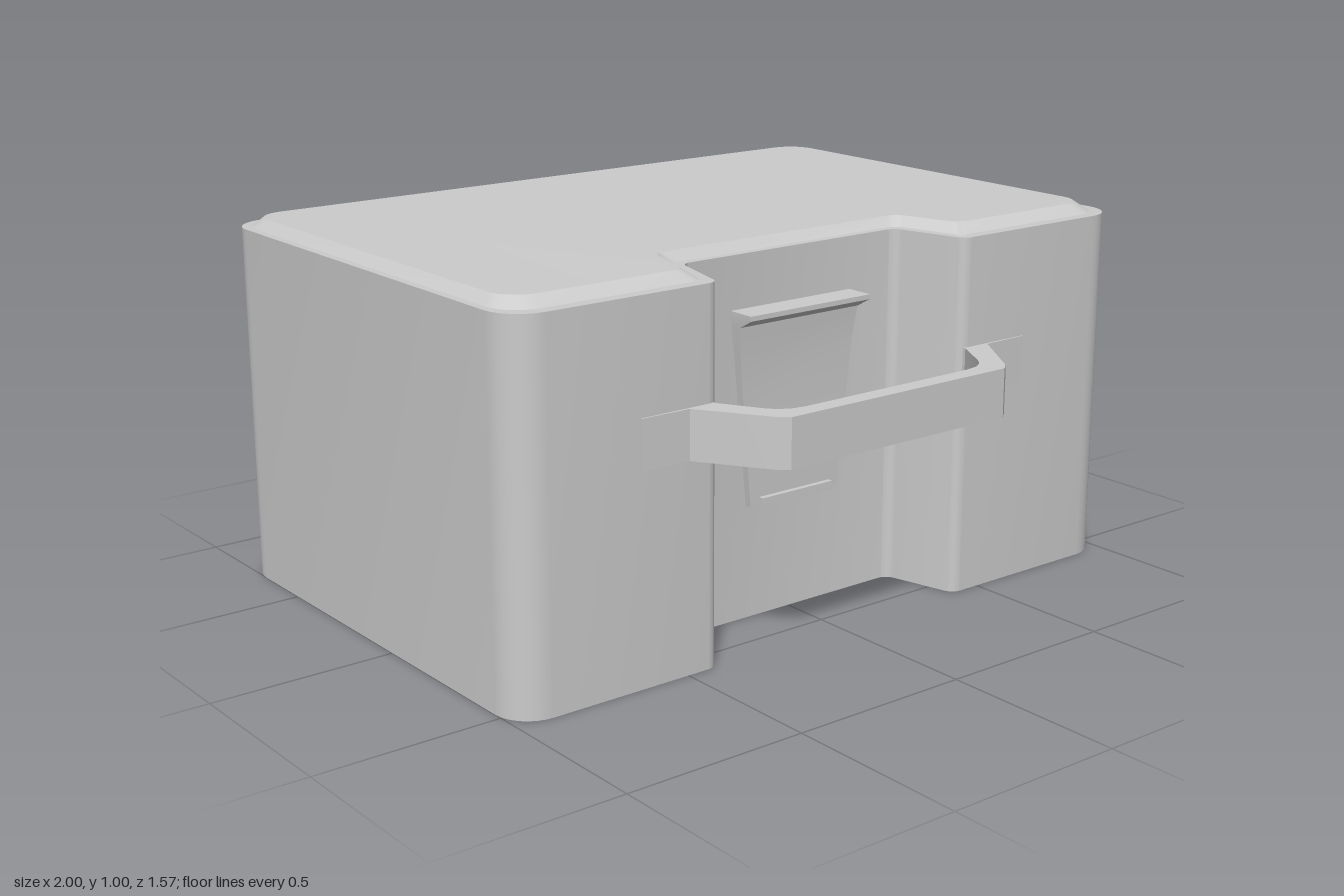
import * as THREE from 'three';
import { toCreasedNormals } from 'three/addons/utils/BufferGeometryUtils.js';

const material = new THREE.MeshStandardMaterial({ color: 0xcccccc });

function addMesh(group, name, geometry) {
  const mesh = new THREE.Mesh(toCreasedNormals(geometry, 0.5), material);
  mesh.name = name;
  group.add(mesh);
  return mesh;
}

// Closed solid through horizontal sections, listed from bottom to top.
function loft(sections) {
  const n = sections[0].points.length;
  const positions = [];
  const index = [];
  for (const { y, points } of sections) {
    for (const p of points) positions.push(p.x, y, p.y);
  }
  for (let s = 0; s < sections.length - 1; s++) {
    for (let i = 0; i < n; i++) {
      const a = s * n + i;
      const b = s * n + (i + 1) % n;
      index.push(a, a + n, b, b, a + n, b + n);
    }
  }
  const top = (sections.length - 1) * n;
  for (const [a, b, c] of THREE.ShapeUtils.triangulateShape(sections[0].points, [])) {
    index.push(a, b, c);
  }
  for (const [a, b, c] of THREE.ShapeUtils.triangulateShape(sections[sections.length - 1].points, [])) {
    index.push(top + a, top + c, top + b);
  }
  const geometry = new THREE.BufferGeometry();
  geometry.setAttribute('position', new THREE.Float32BufferAttribute(positions, 3));
  geometry.setIndex(index);
  return geometry;
}

// Right half of a plan outline plus its mirror image.
const mirrored = (half) => [...half, ...half.map(([x, ...rest]) => [-x, ...rest]).reverse()];

// Rounds each corner [x, z, radius] of a plan outline.
function rounded(corners, steps = 8) {
  const points = [];
  corners.forEach(([x, z, r], i) => {
    const corner = new THREE.Vector2(x, z);
    const toward = (j, d) => {
      const [ox, oz] = corners[(j + corners.length) % corners.length];
      return new THREE.Vector2(ox, oz).sub(corner).setLength(d).add(corner);
    };
    const curve = new THREE.CubicBezierCurve(
      toward(i - 1, r), toward(i - 1, r * 0.45), toward(i + 1, r * 0.45), toward(i + 1, r));
    points.push(...curve.getPoints(steps));
  });
  return points;
}

// Case plan with the front recess, drawn in by an inset (front edge by its own).
function caseOutline(inset, front) {
  return rounded(mirrored([
    [1 - inset, -0.785 + inset, 0.1 - inset * 0.4],
    [1 - inset, 0.575 - front, 0.1 - inset * 0.4],
    [0.41 + inset, 0.575 - front, 0.025],
    [0.355 + inset, 0.365 - inset, 0.025],
  ]));
}

function latchSection(y, halfWidth, front) {
  const back = 0.355;
  const points = [[halfWidth, back], [halfWidth, front], [-halfWidth, front], [-halfWidth, back]];
  return { y, points: points.map(([x, z]) => new THREE.Vector2(x, z)) };
}

export function createModel() {
  const group = new THREE.Group();
  group.name = 'carryCase';

  // Case: straight walls, a narrow ledge and a bevelled lid
  const wall = caseOutline(0, 0);
  addMesh(group, 'caseBody', loft([
    { y: 0, points: wall },
    { y: 0.98, points: wall },
    { y: 0.98, points: caseOutline(0.022, 0.035) },
    { y: 1.005, points: caseOutline(0.048, 0.075) },
  ]));

  // Latch: tapered plate in the recess with a projecting top lip
  addMesh(group, 'latchPlate', loft([
    latchSection(0.31, 0.148, 0.385),
    latchSection(0.55, 0.172, 0.388),
    latchSection(0.7, 0.187, 0.39),
    latchSection(0.8, 0.198, 0.4),
    latchSection(0.825, 0.2, 0.445),
    latchSection(0.838, 0.2, 0.445),
  ]));
  const foot = addMesh(group, 'latchFoot', new THREE.BoxGeometry(0.24, 0.024, 0.04));
  foot.position.set(0, 0.322, 0.38);

  // Handle: angular bow with thin mounting tabs against the front
  const handlePlan = mirrored([
    [0.27, 0.735], [0.31, 0.728], [0.34, 0.71], [0.36, 0.685],
    [0.42, 0.58], [0.42, 0.57], [0.64, 0.57], [0.64, 0.579],
    [0.5, 0.582], [0.38, 0.765], [0.355, 0.785],
  ]);
  const handle = new THREE.ExtrudeGeometry(
    new THREE.Shape(handlePlan.map(([x, z]) => new THREE.Vector2(x, z))),
    { depth: 0.13, bevelEnabled: false });
  handle.rotateX(Math.PI / 2).translate(0, 0.685, 0);
  addMesh(group, 'handle', handle);

  return group;
}
